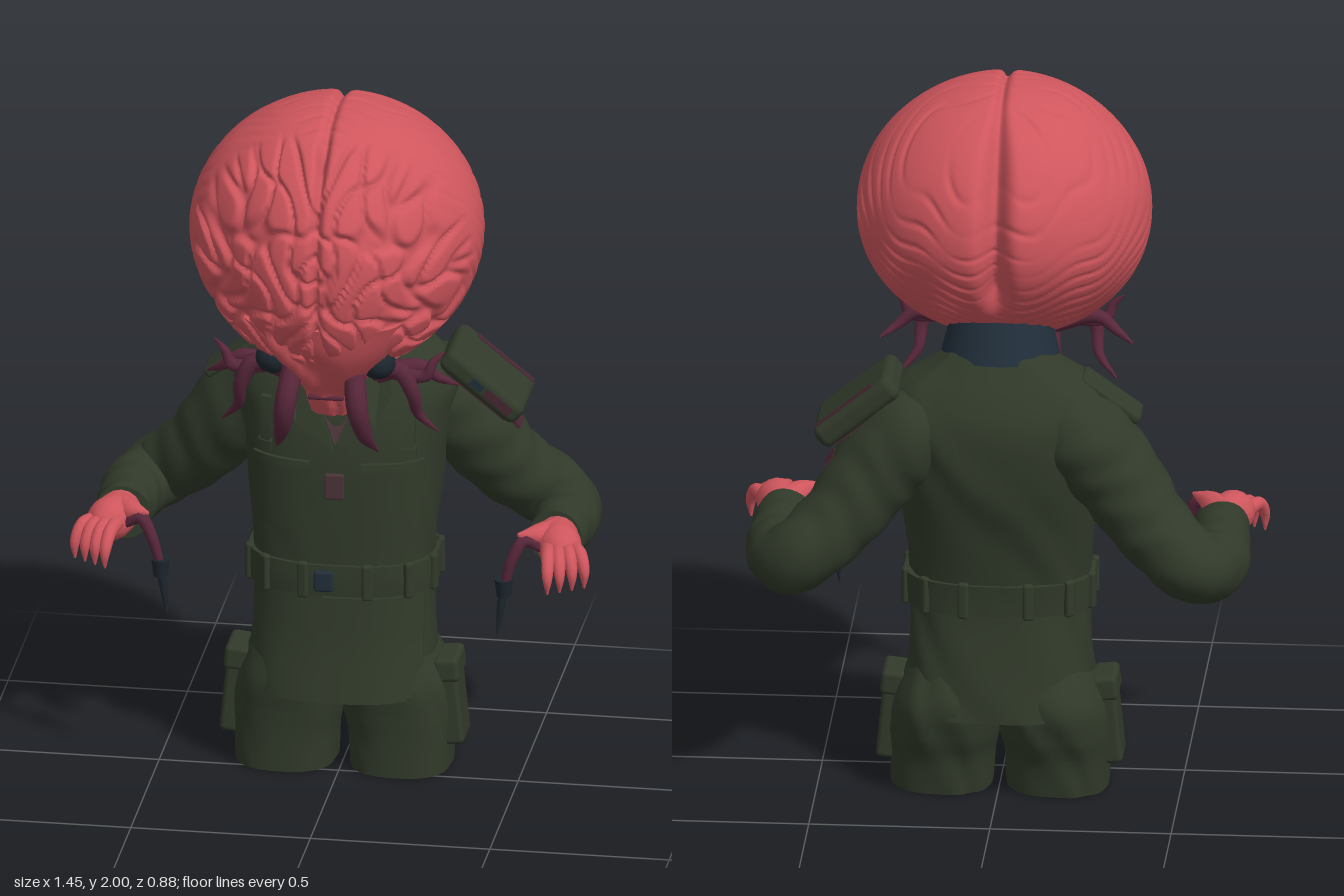
import * as THREE from 'three';
import { mergeVertices, toCreasedNormals } from 'three/addons/utils/BufferGeometryUtils.js';
import { RoundedBoxGeometry } from 'three/addons/geometries/RoundedBoxGeometry.js';

const V = (x, y, z) => new THREE.Vector3(x, y, z);
const { sin, cos, abs, exp, PI } = Math;

// Closed surface through rings of equal point count
function skin(rings) {
  const n = rings[0].length, idx = [];
  for (let i = 0; i < rings.length - 1; i++) for (let j = 0; j < n; j++) {
    const a = i * n + j, b = i * n + (j + 1) % n;
    idx.push(a, b, a + n, b, b + n, a + n);
  }
  const g = new THREE.BufferGeometry().setFromPoints(rings.flat());
  g.setIndex(idx);
  return toCreasedNormals(g, 1.0);
}
const collapse = ring => {
  const c = ring.reduce((s, p) => s.add(p), V(0, 0, 0)).divideScalar(ring.length);
  return ring.map(() => c.clone());
};
const capped = rings => skin([collapse(rings[0]), ...rings, collapse(rings[rings.length - 1])]);

// Rounded-square cross-section, listed from the bottom up: [y, halfWidth, zFront, zBack, centreX]
const pow = v => Math.sign(v) * abs(v) ** 0.8;
function sectionPoint([y, hw, zf, zb, cx = 0], a) {
  return V(cx + hw * pow(cos(a)), y, (zf + zb) / 2 - (zf - zb) / 2 * pow(sin(a)));
}
function loft(rows, fold = 0, steps = 40, n = 48) {
  const A = new THREE.CatmullRomCurve3(rows.map(r => V(r[0], r[1], r[2])), false, 'catmullrom');
  const B = new THREE.CatmullRomCurve3(rows.map(r => V(r[3], r[4] || 0, 0)), false, 'catmullrom');
  const rings = [];
  for (let i = 0; i <= steps; i++) {
    const p = A.getPoint(i / steps), q = B.getPoint(i / steps), ring = [];
    for (let j = 0; j < n; j++) {
      const a = j / n * 2 * PI;
      const f = 1 + fold * sin(5 * a + 14 * p.x + 2 * sin(3 * a + 9 * p.x));
      ring.push(sectionPoint([p.x, p.y * f, p.z * f, q.x * f, q.y], a));
    }
    rings.push(ring);
  }
  return capped(rings);
}

// Tube of changing radius through [x, y, z, radius]; s mirrors it in x
function sweep(pts, s = 1, fold = 0, steps = 16, n = 10) {
  const curve = new THREE.CatmullRomCurve3(pts.map(p => V(p[0] * s, p[1], p[2])));
  const radius = new THREE.CatmullRomCurve3(pts.map(p => V(p[3], 0, 0)), false, 'catmullrom');
  const f = curve.computeFrenetFrames(steps), rings = [];
  for (let i = 0; i <= steps; i++) {
    const c = curve.getPointAt(i / steps), r0 = radius.getPoint(curve.getUtoTmapping(i / steps)).x, ring = [];
    for (let j = 0; j < n; j++) {
      const a = j / n * 2 * PI, r = r0 * (1 + fold * sin(i * 1.1 + 2 * sin(a * 2)));
      ring.push(c.clone().addScaledVector(f.normals[i], r * cos(a)).addScaledVector(f.binormals[i], r * sin(a)));
    }
    rings.push(ring);
  }
  return capped(rings);
}

const JACKET = [
  [0.24, 0.268, 0.105, -0.325], [0.4, 0.255, 0.075, -0.3], [0.55, 0.248, 0.06, -0.28],
  [0.64, 0.25, 0.06, -0.29], [0.78, 0.262, 0.062, -0.32], [0.92, 0.275, 0.062, -0.355],
  [1.04, 0.295, 0.045, -0.365], [1.12, 0.31, 0.02, -0.355], [1.19, 0.28, -0.01, -0.325],
  [1.25, 0.19, -0.05, -0.29], [1.29, 0.13, -0.08, -0.265]];

// Front surface of the jacket, used to lay pockets and lapels on it
function frontZ(x, y) {
  let i = 0;
  while (i < JACKET.length - 2 && y > JACKET[i + 1][0]) i++;
  const a = JACKET[i], b = JACKET[i + 1], t = THREE.MathUtils.clamp((y - a[0]) / (b[0] - a[0]), 0, 1);
  const [, hw, zf, zb] = a.map((v, k) => v + (b[k] - v) * t);
  return (zf + zb) / 2 + (zf - zb) / 2 * (1 - Math.min(abs(x) / hw, 0.99) ** 2.5) ** 0.4;
}
function drape(g) {
  const p = g.attributes.position;
  for (let i = 0; i < p.count; i++) p.setZ(i, p.getZ(i) + frontZ(p.getX(i), p.getY(i)));
  g.computeVertexNormals();
  return g;
}
const drapedBox = (w, h, t, x, y) => drape(new THREE.BoxGeometry(w, h, t, 8, 6, 1).translate(x, y, t / 2 - 0.004));
const drapedShape = (pts, t, s = 1) => drape(new THREE.ExtrudeGeometry(
  new THREE.Shape(pts.map(p => new THREE.Vector2(p[0] * s, p[1]))), { depth: t, bevelEnabled: false }));

// Brain: an ellipsoid creased by winding furrows and a middle cleft
function brainGeometry() {
  let g = new THREE.SphereGeometry(1, 240, 170);
  g.deleteAttribute('uv');
  g.deleteAttribute('normal');
  g = mergeVertices(g, 1e-5);
  const p = g.attributes.position, smooth = THREE.MathUtils.smoothstep;
  for (let i = 0; i < p.count; i++) {
    const d = V(p.getX(i), p.getY(i), p.getZ(i));
    const ax = abs(d.x) + 0.05 * smooth(d.x, -0.05, 0.05);
    const front = smooth(d.z - 0.2 * d.y, 0.15, 0.45);
    const w = sin(20 * ax + 1.9 * sin(10 * d.y + 4 * d.z)) + 0.9 * sin(15 * d.y + 2 * sin(11 * ax + 3 * d.y) + 3 * d.z);
    const b = sin(20 * (d.z - 0.9 * d.y) + 0.8 * sin(4 * ax + 3 * d.y) + 0.9 * sin(11 * ax + 5 * d.z));
    const broken = 0.55 + 0.45 * sin(9 * d.x + 7 * d.y + 5 * d.z);
    const furrow = front * 0.05 * exp(-((w / 0.38) ** 2)) + (1 - front) * 0.016 * broken * exp(-((b / 0.35) ** 2));
    const back = smooth(-d.z, 0.3, 0.95);
    const cleft = (0.05 + 0.03 * front + 0.12 * back) * exp(-((d.x / (0.035 + 0.05 * back)) ** 2)) * smooth(d.y, -0.75, -0.4);
    const r = 1.012 - furrow - cleft;
    const narrow = 1 - 0.13 * smooth(d.z, 0.1, 0.9);
    p.setXYZ(i, d.x * r * 0.402 * narrow, 1.63 + d.y * r * (0.37 + (d.y < 0 ? 0.08 * d.z : 0)), 0.03 + d.z * r * 0.403);
  }
  g.computeVertexNormals();
  return g;
}

export function createModel() {
  const mat = (name, color, side = THREE.FrontSide) => Object.assign(new THREE.MeshStandardMaterial({ color, side }), { name });
  const flesh = mat('flesh red', 0xcf565d), cut = mat('cut red', 0xb23c46);
  const cloth = mat('army green', 0x313a2a, THREE.DoubleSide), purple = mat('tentacle purple', 0x58273a);
  const navy = mat('collar navy', 0x212e3a, THREE.DoubleSide), dark = mat('near black', 0x1d262e);
  const mauve = mat('dull mauve', 0x4b3338, THREE.DoubleSide), plum = mat('trim plum', 0x452631);
  const model = new THREE.Group();
  const add = (name, geo, m, pos = [0, 0, 0], rot = [0, 0, 0], parent = model) => {
    const mesh = new THREE.Mesh(geo, m);
    mesh.name = name;
    mesh.position.set(...pos);
    mesh.rotation.set(...rot);
    parent.add(mesh);
    return mesh;
  };

  // Head
  add('brain', brainGeometry(), flesh);
  add('face', loft([[1.13, 0.05, 0.185, 0.1], [1.16, 0.065, 0.205, 0.05], [1.21, 0.08, 0.235, 0.01],
    [1.27, 0.125, 0.29, 0], [1.36, 0.19, 0.345, 0], [1.46, 0.25, 0.375, 0]], 0.03), flesh);
  add('neck', sweep([[0, 1.12, -0.13, 0.09], [0, 1.25, -0.07, 0.09], [0, 1.4, 0, 0.1]], 1, 0, 12, 20), flesh);
  add('mouth', new RoundedBoxGeometry(0.1, 0.012, 0.02, 2, 0.005), purple, [0, 1.2, 0.225]);

  // Jacket with belt and collar
  add('jacket', loft(JACKET, 0.012, 60), cloth);
  const BELT = [[0.545, 0.262, 0.07, -0.295], [0.59, 0.264, 0.072, -0.297], [0.635, 0.264, 0.07, -0.302]];
  add('belt', loft(BELT, 0, 6), cloth);
  for (let i = 0; i < 12; i++) {
    const a = (i + 0.5) / 12 * 2 * PI, p = sectionPoint(BELT[1], a);
    add('beltLoop', new RoundedBoxGeometry(0.03, 0.105, 0.022, 2, 0.008), cloth, p.toArray(), [0, a + PI / 2, 0]);
  }
  add('buckle', new RoundedBoxGeometry(0.055, 0.06, 0.02, 2, 0.008), navy, [-0.03, 0.59, 0.074]);
  add('frontFlap', drapedBox(0.27, 0.29, 0.014, 0.1, 0.395), cloth);
  add('placket', drapedBox(0.05, 0.36, 0.012, 0, 0.82), cloth);
  add('undershirt', drapedShape([[0, 0.99], [0.09, 1.2], [0.05, 1.24], [-0.05, 1.24], [-0.09, 1.2]], 0.012), mauve);
  add('tag', new RoundedBoxGeometry(0.055, 0.075, 0.016, 2, 0.006), mauve, [0, 0.875, 0.078]);
  add('collarBand', new THREE.CylinderGeometry(0.13, 0.165, 0.14, 28, 1, true, PI * 0.45, PI * 1.1), navy,
    [0, 1.325, -0.11], [0.12, 0, 0]);

  // Shoulder plate with plum lining and trim on the left, plain strap on the right
  const plate = add('shoulderPlate', new RoundedBoxGeometry(0.27, 0.07, 0.23, 3, 0.025), cloth, [0.385, 1.13, -0.185], [0, 0, -0.68]);
  const trims = [['plateLining', 0.22, 0.012, 0.19, 0, -0.033, 0], ['rearTrim', 0.2, 0.008, 0.022, 0.02, 0.033, -0.085],
    ['endTrim', 0.008, 0.012, 0.17, 0.132, -0.014, 0], ['frontTrim', 0.09, 0.026, 0.008, 0.06, 0, 0.113]];
  for (const [name, w, h, d, ...pos] of trims) add(name, new THREE.BoxGeometry(w, h, d), plum, pos, [0, 0, 0], plate);
  add('frontMark', new THREE.BoxGeometry(0.04, 0.022, 0.008), navy, [-0.015, 0, 0.113], [0, 0, 0], plate);
  add('sleevePatch', new THREE.BoxGeometry(0.035, 0.009, 0.07), plum, [0.46, 0.98, -0.235], [0, 0, -0.85]);
  add('shoulderStrap', new RoundedBoxGeometry(0.2, 0.03, 0.11, 2, 0.012), cloth, [-0.31, 1.16, -0.17], [0, 0, 0.62]);

  for (const s of [1, -1]) {
    // Eyes and face tentacles
    const eye = add('eye', new THREE.SphereGeometry(0.05, 20, 14), dark, [s * 0.145, 1.315, 0.23]);
    eye.scale.set(1, 0.9, 1);
    const feelers = [
      [[0.085, 1.31, 0.26, 0.03], [0.1, 1.21, 0.31, 0.03], [0.115, 1.12, 0.28, 0.022], [0.14, 1.04, 0.2, 0.003]],
      [[0.13, 1.28, 0.2, 0.03], [0.2, 1.29, 0.21, 0.026], [0.24, 1.22, 0.21, 0.02], [0.25, 1.15, 0.18, 0.014], [0.3, 1.09, 0.15, 0.003]],
      [[0.13, 1.25, 0.15, 0.028], [0.25, 1.275, 0.14, 0.02], [0.3, 1.24, 0.13, 0.014], [0.35, 1.21, 0.1, 0.003]],
      [[0.18, 1.26, 0.16, 0.022], [0.27, 1.26, 0.17, 0.018], [0.29, 1.3, 0.17, 0.012], [0.32, 1.33, 0.16, 0.003]]];
    for (const f of feelers) add('faceTentacle', sweep(f, s), purple);

    // Jacket details
    add('lapel', drapedShape([[0.004, 0.98], [0.11, 1.05], [0.15, 1.13], [0.12, 1.25], [0.075, 1.23], [0.055, 1.11]], 0.024, s), cloth);
    add('chestPocket', drapedBox(0.15, 0.17, 0.013, s * 0.155, 0.82), cloth);
    add('pocketFlap', drapedBox(0.165, 0.06, 0.02, s * 0.155, 0.91), cloth);
    add('chestStrap', drapedBox(0.03, 0.15, 0.026, s * 0.2, 1.03), cloth);
    add('strapClip', drapedBox(0.04, 0.03, 0.032, s * 0.2, 0.97), cloth);

    // Sleeve, cuff and hand
    add('sleeve', sweep([[0.13, 1.11, -0.2, 0.1], [0.23, 1.06, -0.23, 0.132], [0.33, 0.955, -0.247, 0.125], [0.43, 0.825, -0.29, 0.11],
      [0.555, 0.72, -0.335, 0.1], [0.603, 0.705, -0.24, 0.092], [0.606, 0.715, -0.12, 0.083], [0.603, 0.725, -0.01, 0.076]], s, 0.025, 48, 28), cloth);
    add('palm', sweep([[0.605, 0.73, -0.04, 0.055], [0.615, 0.735, 0.03, 0.06], [0.633, 0.735, 0.09, 0.058], [0.645, 0.73, 0.135, 0.02]], s, 0, 12, 16), flesh);
    for (let i = 0; i < 4; i++) add('finger', sweep([[0.6 + 0.023 * i, 0.74, 0.09, 0.022], [0.61 + 0.028 * i, 0.74, 0.175 - 0.014 * i, 0.019],
      [0.616 + 0.031 * i, 0.7, 0.22 - 0.02 * i, 0.015], [0.616 + 0.031 * i, 0.652, 0.222 - 0.02 * i, 0.003]], s), flesh);
    add('thumb', sweep([[0.605, 0.75, 0.02, 0.045], [0.56, 0.765, 0.075, 0.03], [0.515, 0.775, 0.105, 0.005]], s), flesh);

    // Hanging wrist tentacle with a dark tip
    add('wristTentacle', sweep([[0.58, 0.735, 0.09, 0.014], [0.535, 0.758, 0.1, 0.018], [0.503, 0.71, 0.115, 0.016], [0.48, 0.63, 0.115, 0.013]], s), purple);
    add('tentacleKnob', new THREE.CylinderGeometry(0.026, 0.02, 0.05, 10), dark, [s * 0.478, 0.62, 0.113]);
    add('tentacleSpike', sweep([[0.477, 0.61, 0.113, 0.013], [0.468, 0.55, 0.115, 0.01], [0.46, 0.48, 0.115, 0.002]], s), dark);

    // Leg stump with cargo pocket
    add('leg', loft([[0.002, 0.14, 0.04, -0.25, s * 0.16], [0.1, 0.146, 0.042, -0.265, s * 0.158], [0.18, 0.155, 0.05, -0.295, s * 0.15],
      [0.27, 0.15, 0.06, -0.31, s * 0.14], [0.38, 0.12, 0.04, -0.27, s * 0.12]], 0.015), cloth);
    add('legCut', new THREE.CircleGeometry(1, 32), cut, [s * 0.16, 0, -0.105], [PI / 2, 0, 0]).scale.set(0.14, 0.145, 1);
    add('cargoPocket', new RoundedBoxGeometry(0.06, 0.25, 0.13, 3, 0.015), cloth, [s * 0.3, 0.2, -0.108], [0, 0, s * 0.1]);
    add('cargoFlap', new RoundedBoxGeometry(0.07, 0.07, 0.14, 3, 0.015), cloth, [s * 0.292, 0.295, -0.108], [0, 0, s * 0.1]);
  }
  return model;
}
